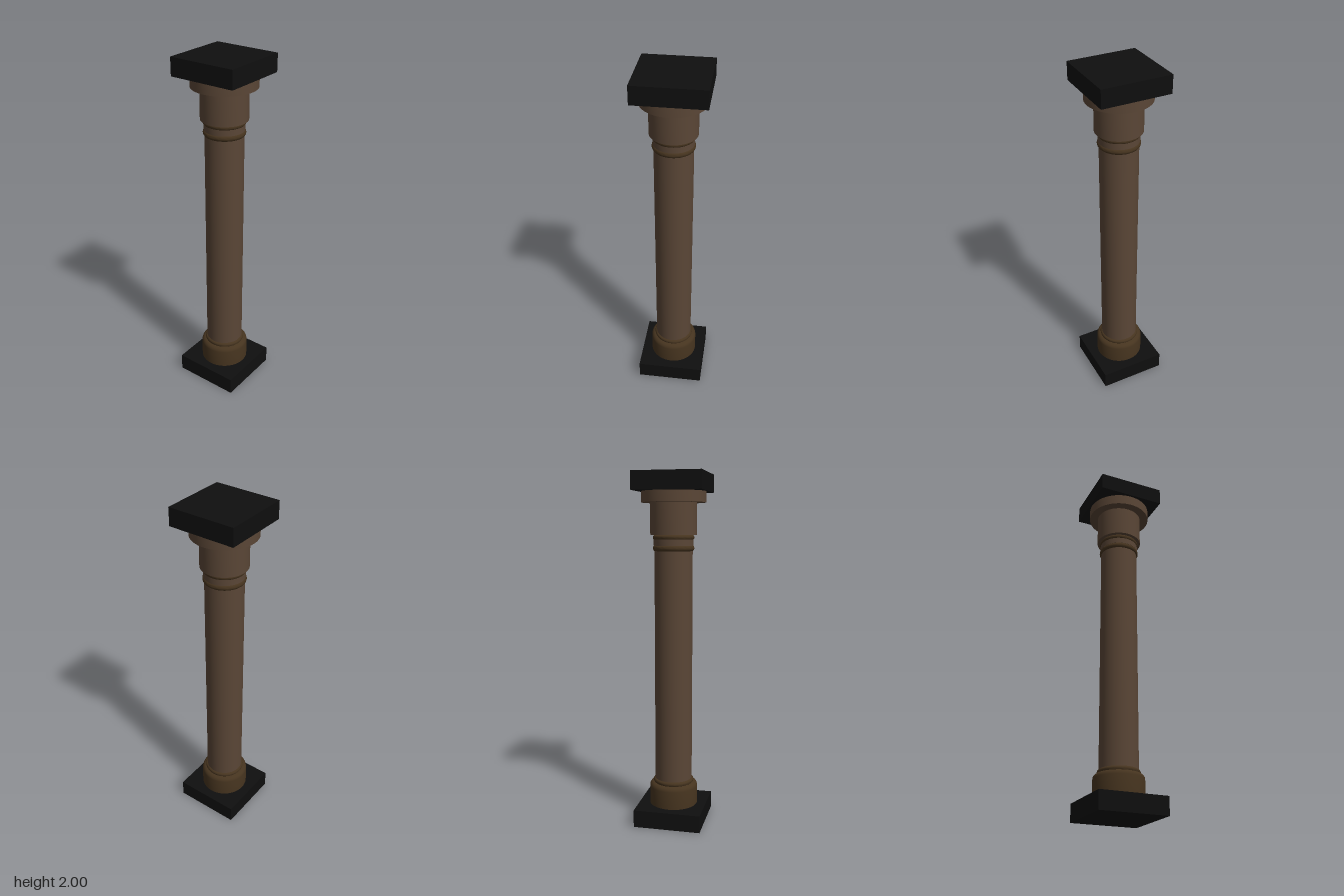
import * as THREE from 'three';
import { toCreasedNormals } from 'three/addons/utils/BufferGeometryUtils.js';

const SEGMENTS = 48;

export function createModel() {
  const column = new THREE.Group();
  column.name = 'column';

  const black = new THREE.MeshStandardMaterial({ color: 0x0f0f0f });
  const brown = new THREE.MeshStandardMaterial({ color: 0x5a4636 });
  const darkBrown = new THREE.MeshStandardMaterial({ color: 0x46341f });

  function add(name, geometry, material, y = 0) {
    const mesh = new THREE.Mesh(geometry, material);
    mesh.name = name;
    mesh.position.y = y;
    column.add(mesh);
  }

  // Turned solid from [radius, height] pairs, listed from bottom to top
  function turned(name, profile, material) {
    const points = [[0, profile[0][1]], ...profile, [0, profile.at(-1)[1]]]
      .map(([r, y]) => new THREE.Vector2(r, y));
    add(name, toCreasedNormals(new THREE.LatheGeometry(points, SEGMENTS), 0.6), material);
  }

  // Half-round moulding around the shaft
  function bead(name, radius, bottom, top, material) {
    const half = (top - bottom) / 2;
    const profile = [];
    for (let i = 0; i <= 8; i++) {
      const a = -Math.PI / 2 + (Math.PI * i) / 8;
      profile.push([radius - half + half * Math.cos(a), bottom + half + half * Math.sin(a)]);
    }
    turned(name, profile, material);
  }

  // Square slabs at foot and head
  const slab = new THREE.BoxGeometry(0.386, 0.1, 0.386);
  add('plinth', slab, black, 0.05);
  add('topSlab', slab, black, 1.95);

  // Base drum with rounded shoulder, then its ring
  turned('baseDrum', [
    [0.139, 0.1], [0.139, 0.205], [0.137, 0.215], [0.131, 0.224], [0.122, 0.23],
  ], darkBrown);
  bead('baseRing', 0.117, 0.225, 0.255, darkBrown);

  // Shaft
  turned('shaft', [[0.107, 0.22], [0.107, 1.67]], brown);

  // Neck rings
  bead('lowerNeckRing', 0.116, 1.572, 1.61, darkBrown);
  turned('neckBand', [[0.111, 1.605], [0.111, 1.64]], brown);
  bead('upperNeckRing', 0.116, 1.635, 1.665, darkBrown);

  // Capital
  turned('capitalDrum', [[0.13, 1.663], [0.13, 1.84]], brown);
  turned('capitalDisc', [[0.18, 1.84], [0.18, 1.9]], brown);

  return column;
}
